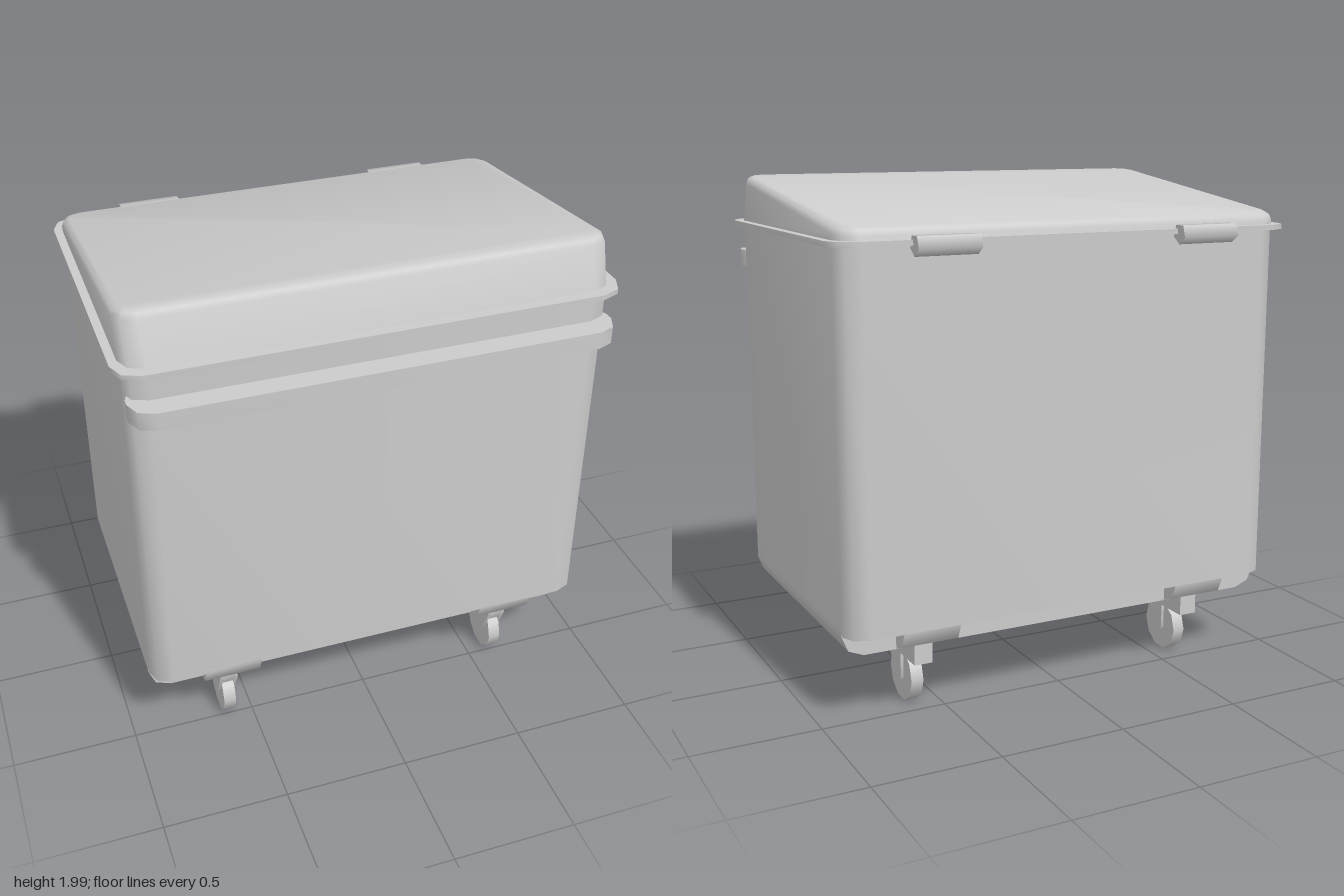
import * as THREE from 'three';
import { toCreasedNormals } from 'three/addons/utils/BufferGeometryUtils.js';

const material = new THREE.MeshStandardMaterial({ color: 0xcccccc });
const CREASE = 0.9;

// Rounded rectangle as points [x, z], with coarse rounded corners
function roundedRect(hx, zBack, zFront, r, segments = 2) {
  const corners = [[hx - r, zFront - r], [-hx + r, zFront - r], [-hx + r, zBack + r], [hx - r, zBack + r]];
  const points = [];
  corners.forEach(([cx, cz], i) => {
    for (let s = 0; s <= segments; s++) {
      const a = (i + s / segments) * Math.PI / 2;
      points.push([cx + r * Math.cos(a), cz + r * Math.sin(a)]);
    }
  });
  return points;
}

function extrude(points, depth) {
  const shape = new THREE.Shape(points.map(([a, b]) => new THREE.Vector2(a, b)));
  return new THREE.ExtrudeGeometry(shape, { depth, bevelEnabled: false });
}

// Horizontal slab from an [x, z] outline
function slab(points, y0, y1) {
  const g = extrude(points.map(([x, z]) => [x, -z]), y1 - y0).rotateX(-Math.PI / 2).translate(0, y0, 0);
  return toCreasedNormals(g, CREASE);
}

// Side profile [z, y] extruded along x, centred on x
function sideProfile(points, x, width) {
  const g = extrude(points.map(([z, y]) => [-z, y]), width).rotateY(Math.PI / 2).translate(x - width / 2, 0, 0);
  return toCreasedNormals(g, CREASE);
}

// Block outline with rounded lower edges
function skidProfile(half) {
  const r = 0.085, y = 0.365, k = r * Math.SQRT1_2, c = half - r;
  const right = [[c, y - r], [c + k, y - k], [half, y], [half, y + 0.02]];
  return [...right, ...right.map(([a, b]) => [-a, b]).reverse()];
}

// Lid: rings of rounded rectangles, the upper ones lying on a sloping plane
function lidGeometry() {
  const slope = 0.126;
  const rings = [
    { hx: 0.928, back: -0.612, front: 0.61, r: 0.085, flat: 1.81 },
    { hx: 0.928, back: -0.606, front: 0.553, r: 0.075, drop: 0.03 },
    { hx: 0.92, back: -0.6, front: 0.543, r: 0.07, drop: 0.01 },
    { hx: 0.9, back: -0.58, front: 0.52, r: 0.055, drop: 0 },
  ];
  const positions = [], index = [];
  let n = 0;
  for (const { hx, back, front, r, flat, drop } of rings) {
    const points = roundedRect(hx, back, front, r);
    n = points.length;
    for (const [x, z] of points) positions.push(x, flat ?? 2 - slope * (0.52 - z) - drop, z);
  }
  for (let k = 0; k < rings.length - 1; k++) {
    for (let i = 0; i < n; i++) {
      const j = (i + 1) % n, a = k * n + i, b = k * n + j;
      index.push(a, a + n, b, b, a + n, b + n);
    }
  }
  const top = (rings.length - 1) * n;
  for (let i = 1; i < n - 1; i++) index.push(top, top + i + 1, top + i);
  const g = new THREE.BufferGeometry();
  g.setAttribute('position', new THREE.Float32BufferAttribute(positions, 3));
  g.setIndex(index);
  return toCreasedNormals(g, CREASE);
}

function add(parent, name, geometry) {
  const mesh = new THREE.Mesh(geometry, material);
  mesh.name = name;
  parent.add(mesh);
  return mesh;
}

// Caster with a slotted fork and a trailing mounting plate
function createCaster() {
  const caster = new THREE.Group();
  const cheek = [[0.535, 0.285], [0.26, 0.285], [0.26, 0.2], [0.4, 0.2], [0.4, 0.1], [0.415, 0.08],
    [0.45, 0.08], [0.47, 0.1], [0.535, 0.24]];
  for (const side of [-1, 1]) add(caster, 'forkCheek', sideProfile(cheek, side * 0.031, 0.012));
  const crown = [[0.535, 0.285], [0.26, 0.285], [0.26, 0.2], [0.515, 0.2], [0.535, 0.24]];
  add(caster, 'forkCrown', sideProfile(crown, 0, 0.052));
  const wheel = new THREE.CylinderGeometry(0.107, 0.107, 0.05, 10).rotateZ(Math.PI / 2);
  add(caster, 'wheel', wheel).position.set(0, 0.107, 0.428);
  return caster;
}

export function createModel() {
  const model = new THREE.Group();
  model.name = 'wheeledBin';

  // Container
  add(model, 'body', slab(roundedRect(0.925, -0.612, 0.612, 0.085), 0.365, 1.8));

  // Base with notched corners and recesses between the tabs
  add(model, 'base', toCreasedNormals(extrude(skidProfile(0.925), 1.06).translate(0, 0, -0.53), CREASE));
  for (const side of [-1, 1]) add(model, 'baseTab', sideProfile(skidProfile(0.612), side * 0.595, 0.23));

  // Rim, front grip and lid
  add(model, 'rim', slab(roundedRect(0.96, -0.647, 0.65, 0.095), 1.795, 1.815));
  add(model, 'frontGrip', slab(roundedRect(0.923, 0.5, 0.7, 0.085), 1.62, 1.69));
  add(model, 'lid', lidGeometry());

  // Five-sided hinges at the back
  for (const side of [-1, 1]) {
    const g = new THREE.CylinderGeometry(0.04, 0.04, 0.245, 5).rotateZ(Math.PI / 2).rotateX(Math.PI);
    g.computeBoundingBox();
    // Keep one corner pointing up
    const spin = -Math.PI / 2;
    g.rotateX(spin);
    add(model, 'hinge', g).position.set(side * 0.545, 1.797, -0.657);
  }

  // Casters
  for (const x of [-0.6, 0.6]) {
    for (const z of [0, -0.79]) {
      const caster = createCaster();
      caster.name = z === 0 ? 'frontCaster' : 'rearCaster';
      caster.position.set(x, 0, z);
      model.add(caster);
    }
  }
  return model;
}
